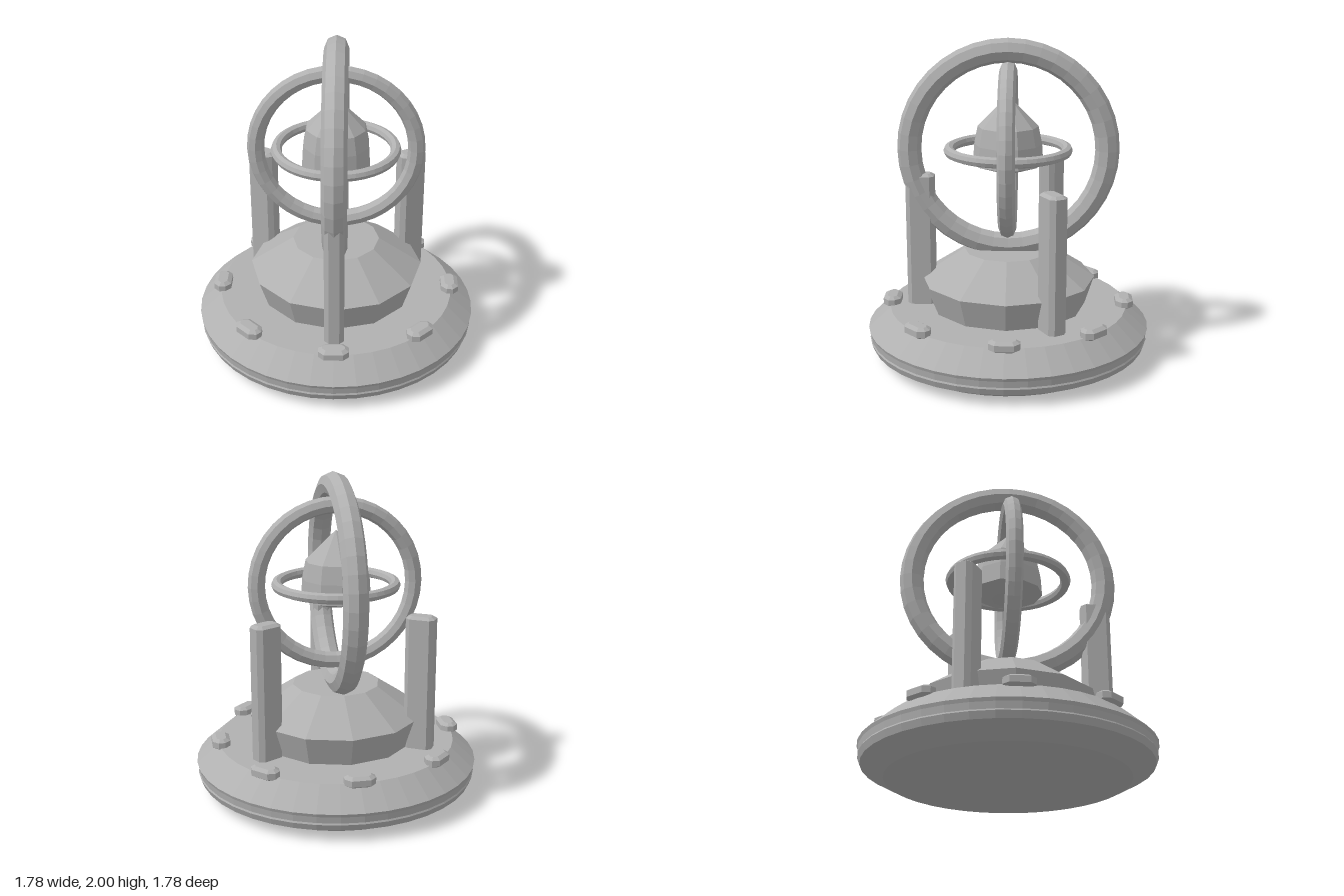
import * as THREE from 'three';

const stone = new THREE.MeshStandardMaterial({ color: 0xb0b0b0, flatShading: true });
stone.name = 'grey stone';

function add(parent, name, geometry) {
  const mesh = new THREE.Mesh(geometry, stone);
  mesh.name = name;
  parent.add(mesh);
  return mesh;
}

// Faceted turned shape from [radius, height] pairs, bottom to top
function turned(profile, sides) {
  return new THREE.LatheGeometry(profile.map(([r, y]) => new THREE.Vector2(r, y)), sides);
}

// Upright block with cut corners and bevelled ends, standing on y = 0
function block(width, height, depth, cut, bevel, rise) {
  const x = width / 2, y = depth / 2;
  const corners = [
    [x, cut - y], [x, y - cut], [x - cut, y], [cut - x, y],
    [-x, y - cut], [-x, cut - y], [cut - x, -y], [x - cut, -y],
  ];
  const shape = new THREE.Shape(corners.map(([a, b]) => new THREE.Vector2(a, b)));
  const geometry = new THREE.ExtrudeGeometry(shape, {
    depth: height - 2 * rise, bevelEnabled: true, bevelSegments: 1,
    bevelSize: bevel, bevelOffset: -bevel, bevelThickness: rise,
  });
  return geometry.translate(0, 0, rise).rotateX(-Math.PI / 2);
}

// Copies of one geometry around the vertical axis, starting at the front
function around(parent, name, geometry, count, radius, y) {
  for (let i = 0; i < count; i++) {
    const angle = (i / count) * Math.PI * 2;
    const mesh = add(parent, name, geometry);
    mesh.position.set(Math.sin(angle) * radius, y, Math.cos(angle) * radius);
    mesh.rotation.y = angle;
  }
}

export function createModel() {
  const model = new THREE.Group();
  model.name = 'ringedPedestal';

  // Wide round base with a shallow groove around its rim
  add(model, 'base', turned([
    [0, 0], [0.73, 0], [0.87, 0.075], [0.885, 0.115], [0.88, 0.125],
    [0.885, 0.165], [0.892, 0.185], [0.75, 0.31], [0, 0.31],
  ], 40));

  // Faceted plinth
  add(model, 'plinth', turned([
    [0, 0.3], [0.487, 0.3], [0.548, 0.49], [0.275, 0.672], [0, 0.672],
  ], 12));

  // Studs around the base and three tall pillars
  around(model, 'stud', block(0.185, 0.07, 0.11, 0.035, 0.025, 0.016), 8, 0.74, 0.29);
  around(model, 'pillar', block(0.12, 0.87, 0.18, 0.028, 0.025, 0.016), 3, 0.55, 0.29);

  // Three nested rings, each in its own plane
  const rings = new THREE.Group();
  rings.name = 'rings';
  rings.position.y = 1.312;
  add(rings, 'outerRing', new THREE.TorusGeometry(0.613, 0.075, 8, 40)).rotation.y = Math.PI / 2;
  add(rings, 'middleRing', new THREE.TorusGeometry(0.493, 0.053, 8, 40));
  add(rings, 'innerRing', new THREE.TorusGeometry(0.366, 0.033, 8, 40)).rotation.x = Math.PI / 2;
  model.add(rings);

  // Floating pointed core
  add(model, 'core', turned([
    [0, 1.18], [0.1, 1.185], [0.218, 1.225], [0.21, 1.35], [0.188, 1.46], [0, 1.65],
  ], 10));

  return model;
}
